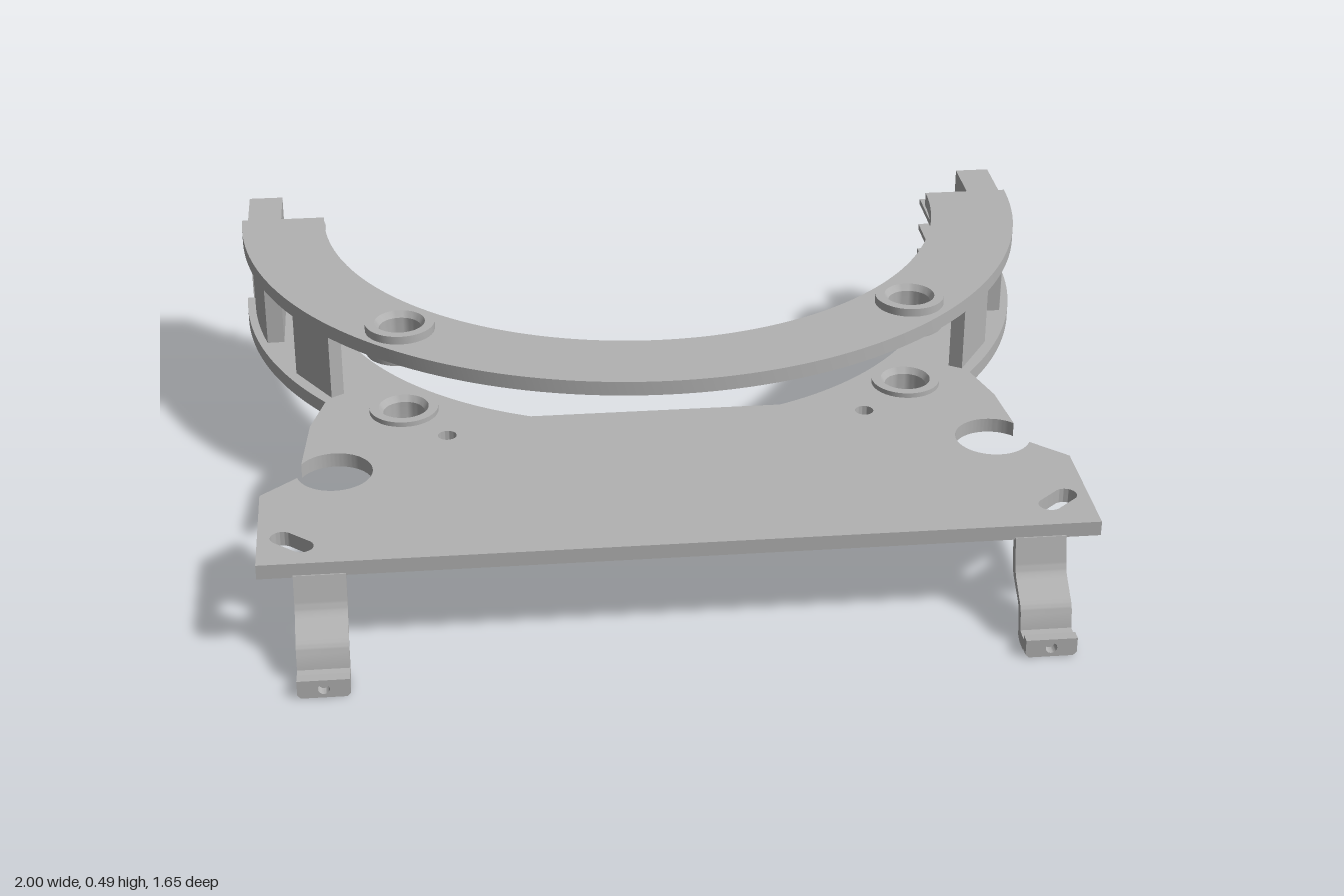
import * as THREE from 'three';
import { toCreasedNormals } from 'three/addons/utils/BufferGeometryUtils.js';

const CZ = -0.69, R_OUT = 1, R_IN = 0.79; // shared ring centre and radii
const BOSSES = [[0.625, -0.045], [-0.605, -0.02]];

export function createModel() {
  const model = new THREE.Group();
  model.name = 'curvedBracket';
  const grey = new THREE.MeshStandardMaterial({ color: 0xb2b2b2 });
  grey.name = 'plain grey';

  const add = (name, geometry, parent = model) => {
    const mesh = new THREE.Mesh(geometry, grey);
    mesh.name = name;
    parent.add(mesh);
    return mesh;
  };

  // Extrude a plan outline (x, z) vertically between two heights
  const slab = (shape, y0, y1) => {
    const g = new THREE.ExtrudeGeometry(shape, { depth: y1 - y0, bevelEnabled: false, curveSegments: 48 });
    g.rotateX(Math.PI / 2).translate(0, y1, 0);
    return toCreasedNormals(g, 0.5);
  };
  const circle = (x, z, r) => new THREE.Path().absarc(x, z, r, 0, Math.PI * 2, true);
  const slot = (x, z, angle, half, r) => {
    const dx = Math.cos(angle) * half, dz = Math.sin(angle) * half;
    return new THREE.Path()
      .absarc(x + dx, z + dz, r, angle - Math.PI / 2, angle + Math.PI / 2, false)
      .absarc(x - dx, z - dz, r, angle + Math.PI / 2, angle + Math.PI * 1.5, false);
  };
  const bossHoles = () => BOSSES.map(([x, z]) => circle(x, z, 0.06));

  // Upper half ring
  const ring = new THREE.Shape();
  ring.moveTo(R_IN, CZ);
  ring.lineTo(R_OUT, CZ);
  ring.absarc(0, CZ, R_OUT, 0, Math.PI, false);
  ring.lineTo(-R_IN, CZ);
  ring.absarc(0, CZ, R_IN, Math.PI, 0, true);
  ring.holes.push(...bossHoles());
  add('upperRing', slab(ring, 0.43, 0.465));

  // Lower plate: ring arms joined to a wide front base with two open bites
  const a = Math.atan2(0.61, 0.797), b = Math.atan2(0.73, 0.302);
  const base = new THREE.Shape();
  base.moveTo(R_IN, CZ);
  base.lineTo(R_OUT, CZ);
  base.absarc(0, CZ, R_OUT, 0, a, false);
  base.lineTo(0.83, 0.04);
  base.absarc(0.78, 0.25, 0.088, -0.745, 0.41, true);
  base.lineTo(0.94, 0.36);
  base.lineTo(0.94, 0.665);
  base.lineTo(-0.94, 0.665);
  base.lineTo(-0.94, 0.36);
  base.absarc(-0.77, 0.265, 0.088, 2.91, -2.65, true);
  base.lineTo(-0.83, 0.04);
  base.absarc(0, CZ, R_OUT, Math.PI - a, Math.PI, false);
  base.lineTo(-R_IN, CZ);
  base.absarc(0, CZ, R_IN, Math.PI, Math.PI - b, true);
  base.absarc(0, CZ, R_IN, b, 0, true);
  base.holes.push(...bossHoles(),
    circle(0.5, 0.09, 0.022), circle(-0.505, 0.115, 0.022),
    slot(0.865, 0.557, -0.72, 0.03, 0.026), slot(-0.863, 0.572, 0.72, 0.03, 0.026));
  add('lowerPlate', slab(base, 0.21, 0.245));

  // Flanged bushings through both plates, chamfered at the bore
  for (const [x, z] of BOSSES) {
    for (const [y0, y1] of [[0.18, 0.257], [0.408, 0.485]]) {
      const profile = [[0.05, y0 + 0.015], [0.06, y0], [0.083, y0], [0.083, y1],
        [0.06, y1], [0.05, y1 - 0.015], [0.05, y0 + 0.015]].map(p => new THREE.Vector2(...p));
      const g = toCreasedNormals(new THREE.LatheGeometry(profile, 40), 0.5);
      add('bushing', g).position.set(x, 0, z);
    }
  }

  // Hook strap side profile as (z, y)
  const strap = new THREE.Shape();
  strap.moveTo(0.645, 0.215);
  strap.lineTo(0.656, 0.15);
  strap.quadraticCurveTo(0.66, 0.125, 0.685, 0.112);
  strap.lineTo(0.72, 0.09);
  strap.quadraticCurveTo(0.738, 0.08, 0.741, 0.06);
  strap.lineTo(0.75, 0.013);
  strap.lineTo(0.765, 0.004);
  strap.lineTo(0.802, 0.004);
  strap.lineTo(0.802, 0.031);
  strap.lineTo(0.766, 0.034);
  strap.lineTo(0.76, 0.07);
  strap.quadraticCurveTo(0.755, 0.09, 0.735, 0.1);
  strap.lineTo(0.705, 0.122);
  strap.quadraticCurveTo(0.686, 0.134, 0.682, 0.155);
  strap.lineTo(0.668, 0.215);

  // Hook lip seen from the front, with a small screw hole
  const lip = new THREE.Shape();
  lip.moveTo(-0.058, 0.008);
  lip.lineTo(-0.05, 0);
  lip.lineTo(0.05, 0);
  lip.lineTo(0.058, 0.008);
  lip.lineTo(0.058, 0.044);
  lip.lineTo(-0.058, 0.044);
  lip.holes.push(circle(0, 0.022, 0.013));

  for (const s of [1, -1]) {
    const side = s > 0 ? 'left' : 'right';

    // End block: curved inner part between the plates, full-height tip behind
    const e = Math.asin(0.27 / 0.975);
    const inner = new THREE.Shape();
    inner.moveTo(s * 0.9, CZ);
    inner.lineTo(s * 0.985, CZ);
    inner.absarc(0, CZ, 0.98, s > 0 ? 0 : Math.PI, s > 0 ? e : Math.PI - e, s < 0);
    inner.lineTo(s * 0.9, CZ + 0.27);
    add(side + 'EndWall', slab(inner, 0.245, 0.43));
    add(side + 'EndBlock', new THREE.BoxGeometry(0.085, 0.255, 0.14)).position.set(s * 0.9425, 0.3375, -0.76);

    // Three connector fins on the inner face
    for (const y of [0.265, 0.337, 0.41]) {
      add(side + 'Fin', new THREE.BoxGeometry(0.11, 0.014, 0.16)).position.set(s * 0.845, y, -0.68);
    }

    // Spacer between the plates, tangent to the ring
    const spacer = add(side + 'Spacer', new THREE.BoxGeometry(0.035, 0.185, 0.165));
    spacer.position.set(s * 0.808, 0.3375, -0.183);
    spacer.rotation.y = -s * 0.56;

    // Front hook
    const hook = new THREE.Group();
    hook.name = side + 'Hook';
    hook.position.x = s * 0.803;
    model.add(hook);
    const g = new THREE.ExtrudeGeometry(strap, { depth: 0.116, bevelEnabled: false, curveSegments: 8 });
    g.rotateY(-Math.PI / 2).translate(0.058, 0, 0);
    add('hookStrap', toCreasedNormals(g, 0.5), hook);
    const lipGeo = new THREE.ExtrudeGeometry(lip, { depth: 0.025, bevelEnabled: false, curveSegments: 12 });
    add('hookLip', toCreasedNormals(lipGeo, 0.5), hook).position.z = 0.8;
  }
  return model;
}
